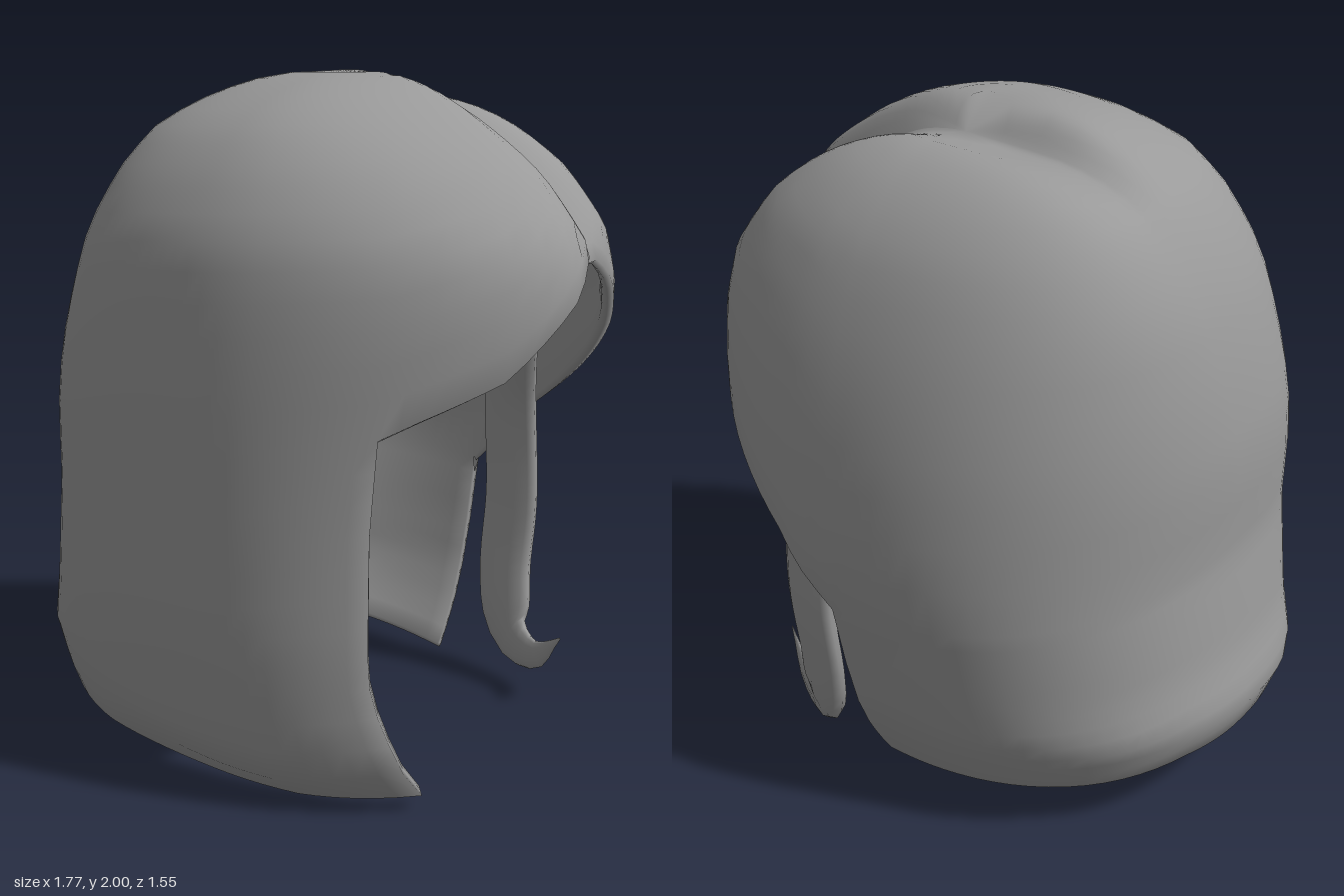
import * as THREE from 'three';
import { mergeVertices } from 'three/addons/utils/BufferGeometryUtils.js';

const CX = 0.05, CZ = -0.1; // crown, where the parting starts
const CAP = 18, SKIRT = 12; // rows above and below the fringe line
const INSET = 0.95; // inside of the shell relative to the outside

// Head profile: y, xMin, xMax, zMin, zMax
const PROFILE = [
  [2.0, 0.05, 0.05, -0.1, -0.1],
  [1.98, -0.24, 0.24, -0.22, 0.19],
  [1.92, -0.41, 0.41, -0.34, 0.38],
  [1.84, -0.55, 0.57, -0.46, 0.52],
  [1.72, -0.64, 0.76, -0.57, 0.63],
  [1.55, -0.72, 0.92, -0.65, 0.72],
  [1.4, -0.76, 0.95, -0.70, 0.745],
  [1.25, -0.79, 0.93, -0.735, 0.76],
  [1.08, -0.81, 0.89, -0.76, 0.77],
  [0.8, -0.80, 0.85, -0.775, 0.775],
  [0.48, -0.84, 0.84, -0.71, 0.77],
  [0.32, -0.885, 0.84, -0.67, 0.75],
  [0.2, -0.84, 0.84, -0.62, 0.735],
  [0.08, -0.80, 0.83, -0.55, 0.69],
  [0.0, -0.76, 0.82, -0.49, 0.58],
];

// Angle in degrees, height of the fringe line, and of the lower edge where a
// long side panel hangs below it
const EDGE = [
  [0, 1.565], [4, 1.53], [9, 1.5], [30, 1.21], [44, 1.12], [51, 1.07],
  [51, 1.07, 0.04], [75, 1.02, 0.0], [100, 0.98, 0.04], [130, 0.92, 0.1],
  [160, 0.87, 0.19], [200, 0.8, 0.2], [230, 0.74, 0.14], [267, 0.68, 0.06],
  [267, 0.68], [280, 0.88], [303, 1.1], [332, 1.38], [344, 1.51], [352, 1.55], [360, 1.565],
];

// Interpolate the profile in sqrt(depth) so the crown stays round
function extents(y) {
  const s = Math.sqrt(Math.max(0, 2 - y));
  let i = 0;
  while (i < PROFILE.length - 2 && y < PROFILE[i + 1][0]) i++;
  const a = PROFILE[i], b = PROFILE[i + 1];
  const sa = Math.sqrt(2 - a[0]), sb = Math.sqrt(2 - b[0]);
  const k = Math.min(1, (s - sa) / (sb - sa));
  return a.map((v, n) => v + (b[n] - v) * k);
}

function outerPoint(deg, y) {
  const [, x0, x1, z0, z1] = extents(y);
  // the front corner of the long side sweeps forward at the bottom
  const sweep = deg >= 51 && deg < 200 ? 8 * Math.max(0, 1 - y / 0.35) * Math.exp(-(deg - 51) / 20) : 0;
  const th = THREE.MathUtils.degToRad(deg - sweep);
  const c = Math.cos(th), s = Math.sin(th);
  let a = c > 0 ? x1 - CX : CX - x0;
  let b = s > 0 ? z1 - CZ : CZ - z0;
  // the two fringe halves meet at the parting, the smaller one set back
  if (deg < 90) a *= 1 - 0.21 * Math.exp(-deg / 8);
  if (deg > 270) a *= 1 - 0.22 * c * c;
  let lean = 0;
  if (c < 0) {
    // the back is slightly squared, and leans toward the long side lower down
    const square = 1 + 0.24 * (c * s) ** 2;
    a *= square;
    b *= square;
    lean = 0.17 * -(c ** 3) * THREE.MathUtils.smoothstep(2 - y, 0.1, 1.1);
  }
  const x = CX + a * c, z = CZ + b * s + lean;
  // a step down from the larger half to the smaller
  const along = THREE.MathUtils.smoothstep(x, -0.75, -0.1);
  const dip = 0.1 * along * Math.exp(-(((z + 0.12) / (z < -0.12 ? 0.15 : 0.07)) ** 2));
  return new THREE.Vector3(x, y - dip, z);
}

// Surface through closed columns of points; joined() may leave gaps
function skin(columns, joined = () => true) {
  const n = columns.length, m = columns[0].length, index = [];
  for (let i = 0; i < n; i++) {
    const next = (i + 1) % n;
    for (let j = 0; j < m - 1; j++) {
      if (!joined(i, next, j)) continue;
      const a = i * m + j, b = next * m + j;
      index.push(a, b, b + 1, a, b + 1, a + 1);
    }
  }
  let g = new THREE.BufferGeometry().setFromPoints(columns.flat());
  g.setIndex(index);
  g = mergeVertices(g, 1e-4);
  g.computeVertexNormals();
  return g;
}

// One column: down the outside, round the rim and up the inside.
// A border column closes the upright edge of a panel half way through its thickness.
function hairColumn({ deg, fringe, bottom, border }) {
  const outer = [], inner = [];
  for (let j = 0; j <= CAP + SKIRT; j++) {
    const y = j <= CAP
      ? 2 - (2 - fringe) * (j / CAP) ** 2
      : fringe + (bottom - fringe) * ((j - CAP) / SKIRT);
    const p = outerPoint(deg, y);
    const depth = Math.sqrt((2 - y) / 2);
    const q = new THREE.Vector3(
      CX + (p.x - CX) * INSET, p.y - 0.05 * Math.max(0, 1 - 1.9 * depth) + 0.012 * depth, CZ + (p.z - CZ) * INSET);
    if (border && j > CAP) {
      p.lerp(q, 0.5);
      q.copy(p);
    }
    outer.push(p);
    inner.unshift(q);
  }
  const rim = outer[CAP + SKIRT].clone().lerp(inner[0], 0.5);
  if (!border) rim.y -= 0.012;
  return [...outer, rim, ...inner];
}

function hairShell() {
  const specs = [];
  EDGE.forEach(([deg, fringe, bottom = fringe], i) => {
    const next = EDGE[i + 1];
    const panel = bottom < fringe;
    const here = { deg, fringe, bottom };
    if (panel && EDGE[i - 1][0] === deg) specs.push({ ...here, border: true });
    specs.push(here);
    if (!next) return;
    if (panel && next[0] === deg) specs.push({ ...here, border: true });
    const steps = Math.ceil((next[0] - deg) / 4);
    for (let k = 1; k < steps; k++) {
      const mix = (u, v) => u + (v - u) * k / steps;
      specs.push({ deg: mix(deg, next[0]), fringe: mix(fringe, next[1]), bottom: mix(bottom, next[2] ?? next[1]) });
    }
  });
  const hangs = (i) => specs[i].bottom < specs[i].fringe;
  const last = 2 * (CAP + SKIRT + 1); // index of the innermost row
  return skin(specs.map(hairColumn), (i, k, j) =>
    hangs(i) === hangs(k) || j < CAP || j >= last - CAP);
}

// Flat lock of hair with a curled, pointed tip
function lock() {
  const path = new THREE.CatmullRomCurve3([
    [0.27, 1.2, -0.53], [0.21, 0.95, -0.62], [0.21, 0.6, -0.64], [0.21, 0.34, -0.61],
    [0.27, 0.16, -0.56], [0.4, 0.13, -0.5], [0.53, 0.23, -0.44],
  ].map((p) => new THREE.Vector3(...p)));
  const rows = 28, sides = 12;
  const columns = Array.from({ length: sides }, () => []);
  for (let j = 0; j <= rows; j++) {
    const t = j / rows;
    const p = path.getPointAt(t), T = path.getTangentAt(t);
    const N = new THREE.Vector3(0.3, 0, -1);
    N.addScaledVector(T, -N.dot(T)).normalize();
    const W = new THREE.Vector3().crossVectors(T, N);
    const taper = t < 0.7 ? 1 : Math.max(0.03, 1 - (t - 0.7) / 0.3);
    columns.forEach((col, i) => {
      const a = (i / sides) * Math.PI * 2;
      col.push(p.clone()
        .addScaledVector(N, Math.cos(a) * 0.045 * taper)
        .addScaledVector(W, Math.sin(a) * 0.12 * taper));
    });
  }
  return skin(columns);
}

export function createModel() {
  const group = new THREE.Group();
  group.name = 'hair';
  const material = new THREE.MeshStandardMaterial({ color: 0x9a9a9a, side: THREE.DoubleSide });
  const add = (name, geometry) => {
    const mesh = new THREE.Mesh(geometry, material);
    mesh.name = name;
    group.add(mesh);
  };
  add('hairShell', hairShell());
  add('sideLock', lock());
  return group;
}
